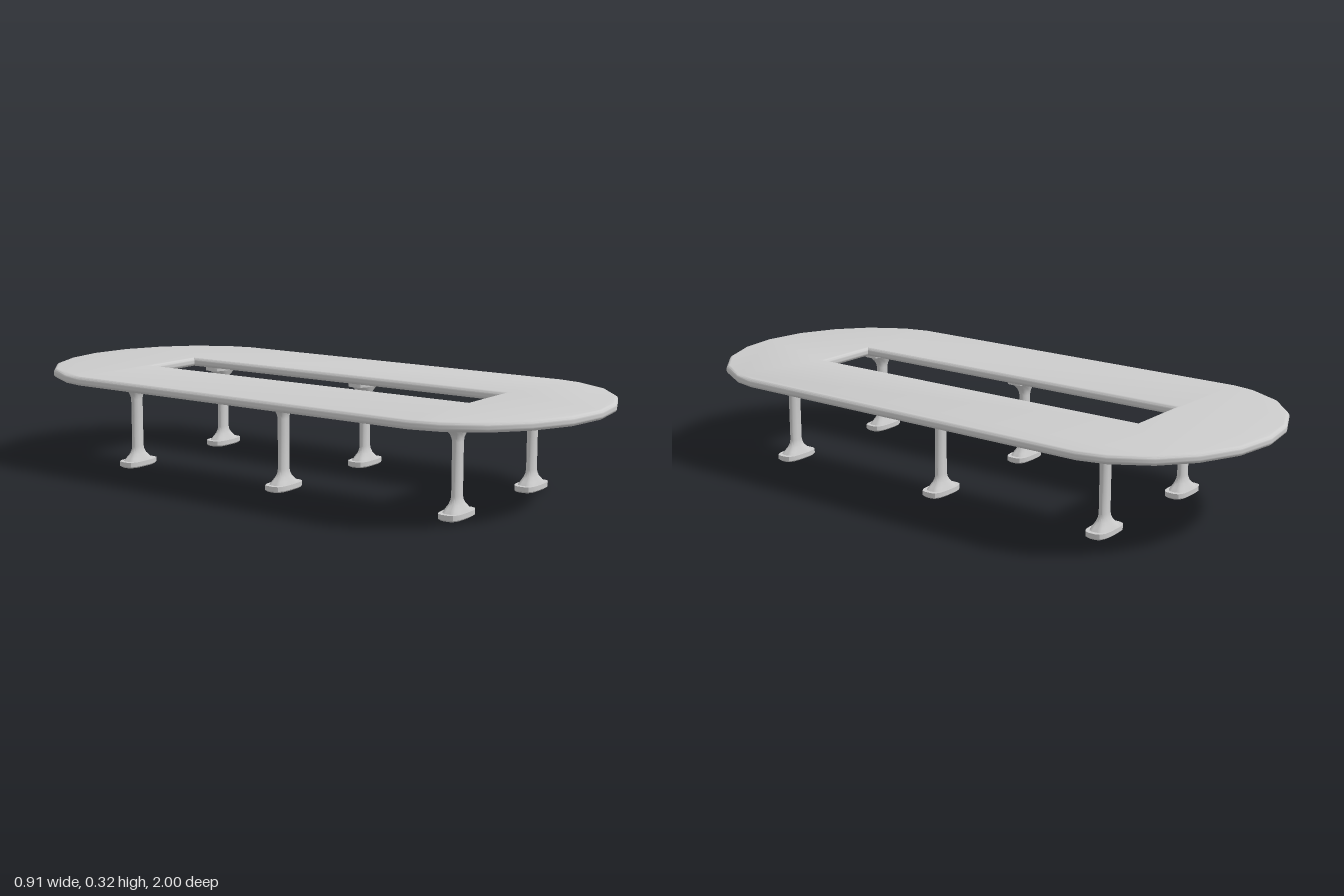
import * as THREE from 'three';
import { toCreasedNormals } from 'three/addons/utils/BufferGeometryUtils.js';

const material = new THREE.MeshStandardMaterial({ color: 0xcccccc });

// Oblong top with a long slot and a rounded rim
function makeTop() {
  const half = [
    [0.45, -0.63], [0.435, -0.72], [0.367, -0.835], [0.27, -0.92], [0.143, -0.98], [0.003, -1],
    [-0.13, -0.98], [-0.255, -0.925], [-0.358, -0.835], [-0.423, -0.72], [-0.44, -0.645],
  ];
  half[0] = [0.456, -0.63];
  const outline = [...half, ...half.map(([x, z]) => [-x, -z])];
  const slot = [[-0.103, -0.62], [0.112, -0.62], [0.103, 0.62], [-0.112, 0.62]];
  const toVectors = (list) => list.map(([x, z]) => new THREE.Vector2(x, -z));
  const shape = new THREE.Shape(toVectors(outline));
  shape.holes.push(new THREE.Path(toVectors(slot)));
  const bevel = 0.012;
  const geometry = new THREE.ExtrudeGeometry(shape, {
    depth: 0.006, bevelThickness: bevel, bevelSize: bevel, bevelOffset: -bevel, bevelSegments: 4,
  });
  geometry.rotateX(-Math.PI / 2).translate(0, 0.29 + bevel, 0);
  const mesh = new THREE.Mesh(toCreasedNormals(geometry, 0.6), material);
  mesh.name = 'tableTop';
  return mesh;
}

// Leg: rings of [height, half width, half depth, squareness], foot to cap
function makeLegGeometry() {
  const rings = [
    [0, 0, 0, 3.5], [0, 0.062, 0.031, 3.5], [0.005, 0.068, 0.037, 3.5], [0.02, 0.068, 0.037, 3.5],
    [0.02, 0.054, 0.03, 3], [0.03, 0.045, 0.026, 2.5], [0.042, 0.032, 0.02, 2.2],
    [0.054, 0.026, 0.016, 2], [0.066, 0.023, 0.0145, 2],
  ];
  const upper = rings.map(([y, a, b, n]) => [0.291 - y, a, b, n]).reverse();
  const all = [...rings, ...upper];
  const geometry = new THREE.LatheGeometry(all.map(([y]) => new THREE.Vector2(1, y)), 20);
  const pos = geometry.attributes.position;
  for (let i = 0; i < pos.count; i++) {
    const [y, a, b, n] = all[i % all.length];
    const x = pos.getX(i), z = pos.getZ(i);
    const r = (Math.abs(x) ** n + Math.abs(z) ** n) ** (-1 / n);
    pos.setXYZ(i, x * r * a, y, z * r * b);
  }
  return toCreasedNormals(geometry, 0.6);
}

export function createModel() {
  const group = new THREE.Group();
  group.name = 'conferenceTable';
  group.add(makeTop());

  // Three pairs of legs
  const legGeometry = makeLegGeometry();
  const rows = { front: 0.655, middle: 0.027, back: -0.585 };
  for (const [row, z] of Object.entries(rows)) {
    for (const side of [-1, 1]) {
      const leg = new THREE.Mesh(legGeometry, material);
      leg.name = row + (side > 0 ? 'LeftLeg' : 'RightLeg');
      leg.position.set(side * 0.225, 0, z);
      group.add(leg);
    }
  }
  return group;
}
